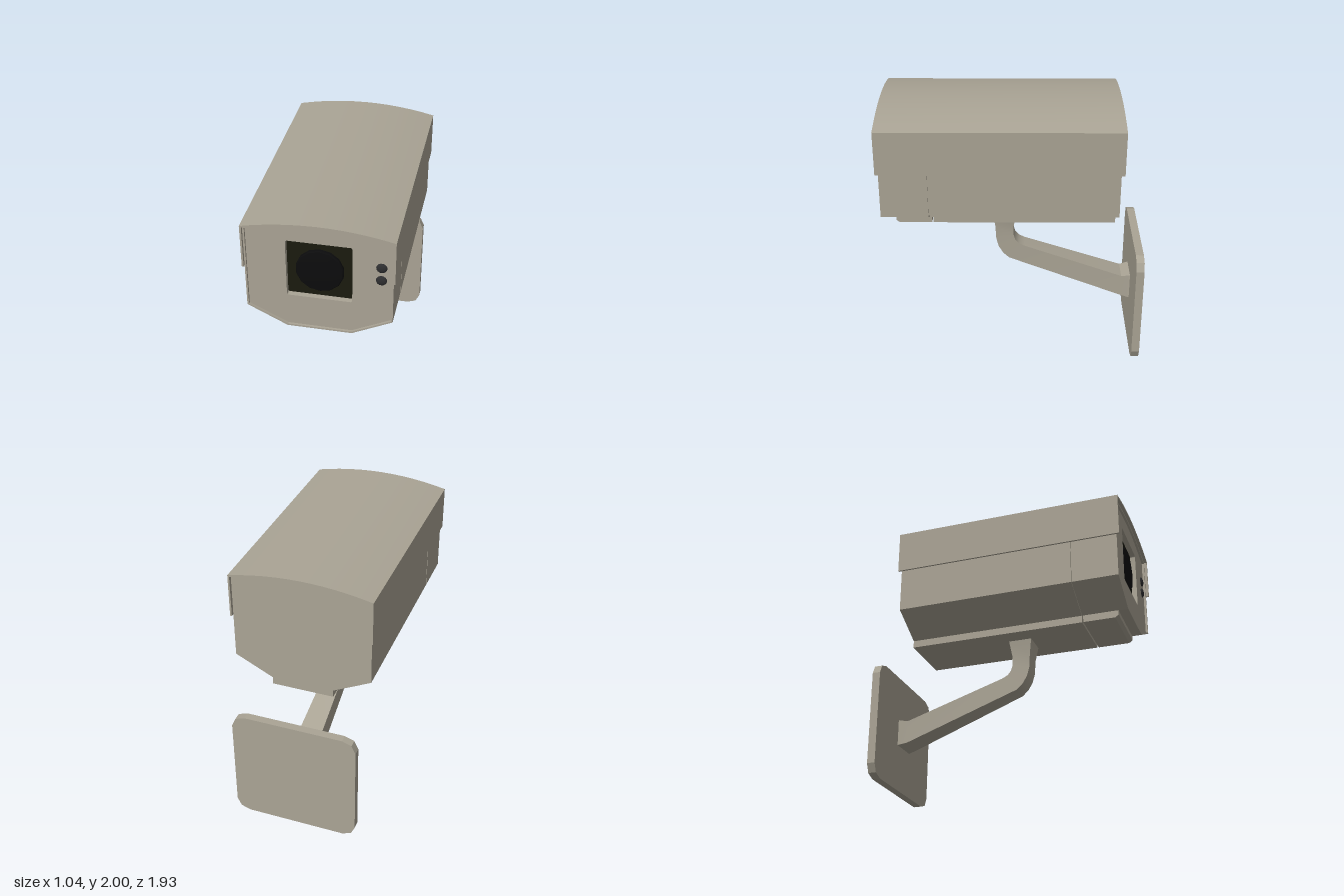
import * as THREE from 'three';
import { toCreasedNormals } from 'three/addons/utils/BufferGeometryUtils.js';

const paint = new THREE.MeshStandardMaterial({ color: 0xaaa495 });
const windowDark = new THREE.MeshStandardMaterial({ color: 0x1a1a0f });
const lensBlack = new THREE.MeshStandardMaterial({ color: 0x0c0c0d });
const ledDark = new THREE.MeshStandardMaterial({ color: 0x2e2e30 });

function add(parent, name, geometry, material = paint) {
  const mesh = new THREE.Mesh(geometry, material);
  mesh.name = name;
  parent.add(mesh);
  return mesh;
}

// Extrude a front-view (x, y) shape between two z values
function slab(shape, z0, z1) {
  const g = new THREE.ExtrudeGeometry(shape, { depth: z1 - z0, bevelEnabled: false, curveSegments: 12 });
  g.translate(0, 0, z0);
  return toCreasedNormals(g, 0.3);
}

// Extrude a side-view (z, y) profile across x, centred
function sideSlab(points, width) {
  const g = new THREE.ExtrudeGeometry(new THREE.Shape(points.map(p => new THREE.Vector2(...p))),
    { depth: width, bevelEnabled: false });
  return g.translate(0, 0, -width / 2).rotateY(-Math.PI / 2);
}

// Housing cross-section with arched top, shrunk inward by d
function housing(d = 0) {
  const s = new THREE.Shape();
  const x = 0.505 - d;
  s.moveTo(-0.225 + d * 0.3, 1.14 + d);
  s.lineTo(0.225 - d * 0.3, 1.14 + d);
  s.lineTo(x, 1.28 + d * 0.5);
  s.lineTo(x, 1.925 - d);
  s.quadraticCurveTo(0, 2.05 - d, -x, 1.925 - d);
  s.lineTo(-x, 1.28 + d * 0.5);
  s.closePath();
  return s;
}

// Thin hood: arched roof with two hanging sides
function hood() {
  const s = new THREE.Shape();
  s.moveTo(0.518, 1.615);
  s.lineTo(0.518, 1.94);
  s.quadraticCurveTo(0, 2.06, -0.518, 1.94);
  s.lineTo(-0.518, 1.615);
  s.lineTo(-0.505, 1.615);
  s.lineTo(-0.505, 1.928);
  s.quadraticCurveTo(0, 2.046, 0.505, 1.928);
  s.lineTo(0.505, 1.615);
  s.closePath();
  return s;
}

// Rounded rectangle
function roundRect(w, h, cy, r, Type = THREE.Shape) {
  const s = new Type();
  const x = w / 2, y0 = cy - h / 2, y1 = cy + h / 2;
  s.moveTo(x - r, y0);
  s.quadraticCurveTo(x, y0, x, y0 + r);
  s.lineTo(x, y1 - r);
  s.quadraticCurveTo(x, y1, x - r, y1);
  s.lineTo(-x + r, y1);
  s.quadraticCurveTo(-x, y1, -x, y1 - r);
  s.lineTo(-x, y0 + r);
  s.quadraticCurveTo(-x, y0, -x + r, y0);
  return s;
}

// Four-sided arm lofted through stations: [outer z, outer y, inner z, inner y, half width]
function armGeometry() {
  const stations = [
    [0.158, 1.09, -0.02, 1.09, 0.092],
    [0.14, 0.97, 0.0, 0.97, 0.072],
    [0.134, 0.86, 0.0, 0.89, 0.07],
    [0.115, 0.79, -0.012, 0.85, 0.07],
    [0.08, 0.732, -0.04, 0.817, 0.07],
    [0.035, 0.69, -0.085, 0.795, 0.07],
    [-0.84, 0.362, -0.84, 0.537, 0.092],
    [-0.91, 0.347, -0.91, 0.55, 0.107],
  ];
  const pos = [], index = [];
  stations.forEach(([oz, oy, iz, iy, w], i) => {
    pos.push(-w, oy, oz, w, oy, oz, w, iy, iz, -w, iy, iz);
    if (i === 0) return;
    for (let k = 0; k < 4; k++) {
      const a = (i - 1) * 4 + k, b = (i - 1) * 4 + (k + 1) % 4;
      index.push(a, a + 4, b + 4, a, b + 4, b);
    }
  });
  const g = new THREE.BufferGeometry();
  g.setAttribute('position', new THREE.Float32BufferAttribute(pos, 3));
  g.setIndex(index);
  return toCreasedNormals(g, 0.5);
}

export function createModel() {
  const model = new THREE.Group();
  model.name = 'securityCamera';

  // Housing in two sections with a narrow seam
  const body = new THREE.Group();
  body.name = 'housing';
  model.add(body);
  add(body, 'rearHousing', slab(housing(), -0.755, 0.595));
  add(body, 'seamCore', slab(housing(0.012), 0.59, 0.61));
  add(body, 'frontHousing', slab(housing(), 0.605, 0.88));
  const rim = housing();
  rim.holes.push(housing(0.012));
  add(body, 'frontRim', slab(rim, 0.88, 0.945));
  const face = housing(0.012);
  face.holes.push(roundRect(0.45, 0.445, 1.617, 0.015, THREE.Path));
  add(body, 'facePlate', slab(face, 0.88, 0.928));
  add(model, 'hood', slab(hood(), -0.78, 0.967));

  // Keel under the housing, split at the seam
  add(body, 'rearKeel', sideSlab([[-0.755, 1.087], [0.595, 1.087], [0.595, 1.15], [-0.755, 1.15]], 0.456));
  add(body, 'frontKeel', sideSlab(
    [[0.605, 1.087], [0.845, 1.087], [0.872, 1.105], [0.872, 1.15], [0.605, 1.15]], 0.456));

  // Recessed window, lens and indicator lights
  add(body, 'window', new THREE.BoxGeometry(0.45, 0.445, 0.012), windowDark).position.set(0, 1.617, 0.882);
  const lensProfile = [[0.165, 0], [0.165, 0.02], [0.158, 0.027], [0.11, 0.033], [0.055, 0.036], [0, 0.037]]
    .map(p => new THREE.Vector2(...p));
  const lens = toCreasedNormals(new THREE.LatheGeometry(lensProfile, 14).rotateX(Math.PI / 2), 0.6);
  add(body, 'lens', lens, lensBlack).position.set(0, 1.607, 0.886);
  for (const y of [1.708, 1.608]) {
    const led = add(body, 'indicatorLight', new THREE.SphereGeometry(0.037, 20, 12), ledDark);
    led.position.set(0.42, y, 0.928);
    led.scale.z = 0.45;
  }

  // Bracket: bent arm and wall plate
  add(model, 'bracketArm', armGeometry());
  const c = [[0.47, 0.355], [0.44, 0.42], [0.37, 0.445]];
  const corners = [...c, ...c.map(([x, y]) => [-x, y]).reverse(),
    ...c.map(([x, y]) => [-x, -y]), ...c.map(([x, y]) => [x, -y]).reverse()];
  const plate = new THREE.Shape(corners.map(([x, y]) => new THREE.Vector2(x, y + 0.445)));
  add(model, 'wallPlate', slab(plate, -0.967, -0.907));
  return model;
}
